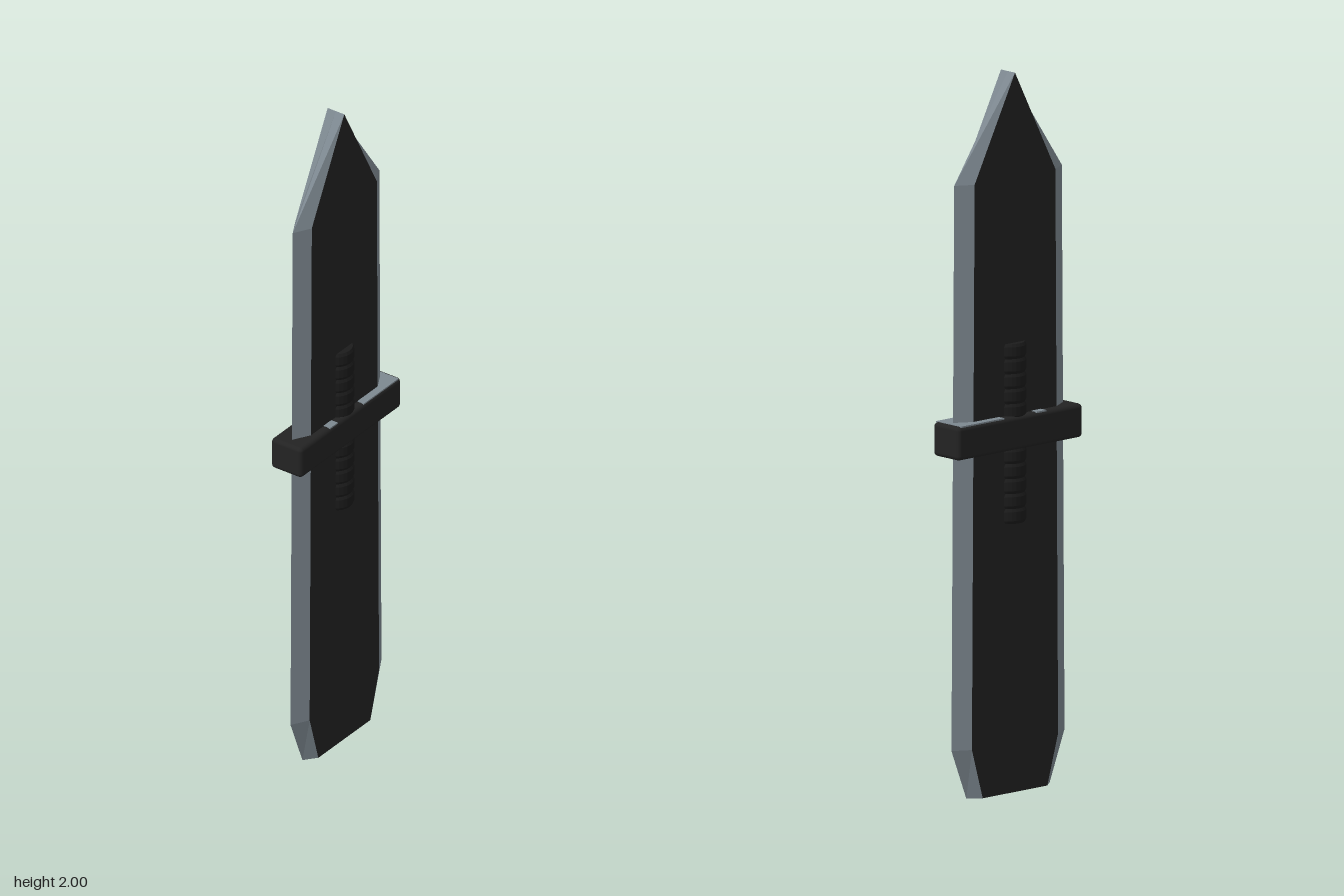
import * as THREE from 'three';
import { RoundedBoxGeometry } from 'three/addons/geometries/RoundedBoxGeometry.js';

const material = (name, color) => Object.assign(new THREE.MeshStandardMaterial({ color }), { name });

// Blade levels: height, half width at the cutting edge, half width of the flat
const LEVELS = [[0, 0.155, 0.12], [0.14, 0.21, 0.16], [1.71, 0.2, 0.15], [2, 0, 0]];
const HALF_THICKNESS = 0.028;

// Builds flat-shaded faces from a list of triangles
function facets(triangles) {
  const geometry = new THREE.BufferGeometry();
  geometry.setAttribute('position', new THREE.Float32BufferAttribute(triangles.flat(2), 3));
  geometry.computeVertexNormals();
  return geometry;
}

const quad = (a, b, c, d) => [[a, b, c], [a, c, d]];

// Bevels running from the thin cutting edge to the flat
function bevelGeometry() {
  const triangles = [];
  for (const sx of [-1, 1]) for (const sz of [-1, 1]) {
    for (let i = 0; i < LEVELS.length - 1; i++) {
      const [y0, e0, f0] = LEVELS[i], [y1, e1, f1] = LEVELS[i + 1];
      const z = sz * HALF_THICKNESS;
      const p = [[sx * f0, y0, z], [sx * e0, y0, 0], [sx * e1, y1, 0], [sx * f1, y1, z]];
      if (sx * sz < 0) p.reverse();
      triangles.push(...quad(...p));
    }
  }
  return facets(triangles);
}

// Dark flats on both sides, and the blunt end at the bottom
function flatGeometry() {
  const triangles = [];
  for (const sz of [-1, 1]) {
    const z = sz * HALF_THICKNESS;
    for (let i = 0; i < LEVELS.length - 1; i++) {
      const [y0, , f0] = LEVELS[i], [y1, , f1] = LEVELS[i + 1];
      const p = [[-f0, y0, z], [f0, y0, z], [f1, y1, z], [-f1, y1, z]];
      if (sz < 0) p.reverse();
      triangles.push(...quad(...p));
    }
  }
  const [, e, f] = LEVELS[0], t = HALF_THICKNESS;
  const end = [[-e, 0, 0], [-f, 0, -t], [f, 0, -t], [e, 0, 0], [f, 0, t], [-f, 0, t]];
  for (let i = 1; i < 5; i++) triangles.push([end[0], end[i], end[i + 1]]);
  return facets(triangles);
}

// Ribbed grip profile
function gripGeometry() {
  const ribs = 12, bottom = 0.75, pitch = 0.5 / ribs;
  const profile = [new THREE.Vector2(0, bottom)];
  for (let i = 0; i < ribs; i++) {
    const y = bottom + i * pitch;
    for (const [r, k] of [[0.046, 0], [0.05, 0.2], [0.05, 0.8], [0.046, 1]]) {
      profile.push(new THREE.Vector2(r, y + k * pitch));
    }
  }
  profile.push(new THREE.Vector2(0, bottom + 0.5));
  return new THREE.LatheGeometry(profile, 24);
}

export function createModel() {
  const steel = material('steel', 0x7d8890);
  const dark = material('dark metal', 0x232323);
  const black = material('black grip', 0x1b1b1b);
  const model = new THREE.Group();
  model.name = 'doubleEndedBlade';
  const add = (name, geometry, mat, x = 0, y = 0, z = 0) => {
    const mesh = new THREE.Mesh(geometry, mat);
    mesh.name = name;
    mesh.position.set(x, y, z);
    model.add(mesh);
  };

  add('bladeBevels', bevelGeometry(), steel);
  add('bladeFlats', flatGeometry(), dark);

  const grip = gripGeometry().toNonIndexed();
  grip.computeVertexNormals();
  add('grip', grip, black);

  // Crossguard with steel inlays on its upper face
  add('guard', new RoundedBoxGeometry(0.464, 0.094, 0.104, 2, 0.012), dark, 0, 1.003, 0);
  add('guardInlayLeft', new THREE.BoxGeometry(0.16, 0.004, 0.1), steel, 0.14, 1.0495, 0);
  add('guardInlayRight', new THREE.BoxGeometry(0.035, 0.004, 0.1), steel, -0.078, 1.0495, 0);

  return model;
}
